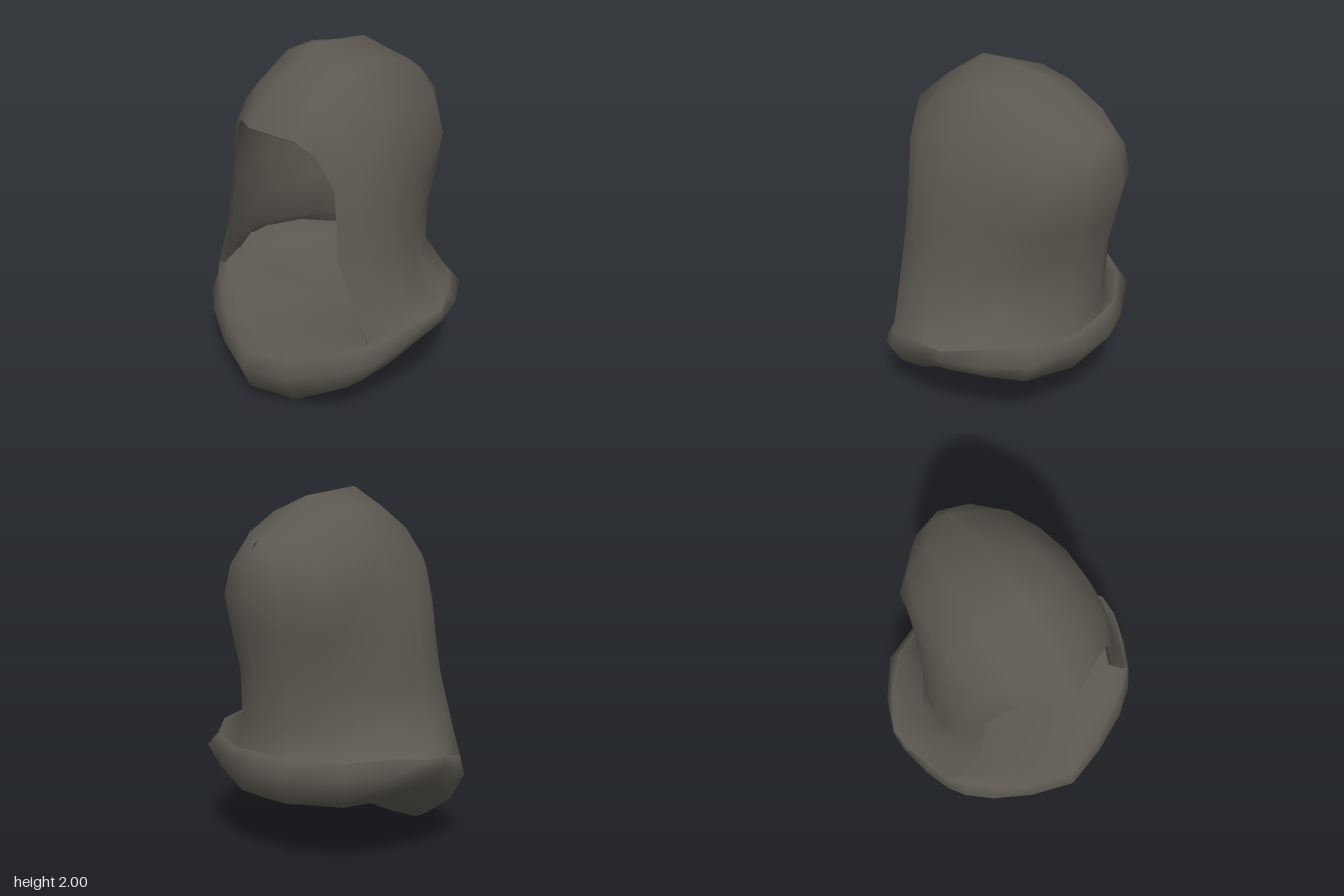
import * as THREE from 'three';
import { mergeVertices } from 'three/addons/utils/BufferGeometryUtils.js';

// Half cross-sections of the hood: face edge, round the side, to the centre back
const base = [[.63, .53, .35], [.69, .57, .195], [.75, .61, .04], [.755, .615, -.08], [.64, .635, -.27], [.47, .615, -.455], [.19, .61, -.59], [0, .625, -.61]];
const neck = [[.57, .66, .365], [.62, .68, .24], [.63, .7, .08], [.55, .71, -.08], [.44, .72, -.25], [.34, .72, -.4], [.17, .74, -.54], [0, .75, -.6]];
const jaw = [[.44, .98, .4], [.51, .97, .27], [.54, .95, .12], [.51, .97, -.08], [.425, 1, -.25], [.35, 1.02, -.4], [.18, 1.03, -.55], [0, 1.03, -.62]];
const cheek = [[.415, 1.2, .385], [.5, 1.22, .27], [.538, 1.22, .1], [.5, 1.23, -.08], [.425, 1.24, -.26], [.38, 1.24, -.425], [.19, 1.25, -.6], [0, 1.26, -.665]];
const temple = [[.395, 1.37, .38], [.46, 1.42, .27], [.485, 1.45, .1], [.47, 1.45, -.08], [.42, 1.45, -.28], [.39, 1.44, -.455], [.2, 1.45, -.64], [0, 1.46, -.71]];
const brow = [[.31, 1.545, .43], [.38, 1.63, .3], [.417, 1.68, .1], [.415, 1.69, -.08], [.385, 1.66, -.27], [.32, 1.62, -.46], [.17, 1.61, -.62], [0, 1.63, -.67]];
const crown = [[.21, 1.61, .48], [.22, 1.77, .35], [.235, 1.9, .12], [.24, 1.91, -.06], [.22, 1.87, -.25], [.18, 1.77, -.47], [.09, 1.7, -.6], [0, 1.69, -.63]];
const ridge = [[0, 1.66, .6], [0, 1.85, .38], [0, 2, .16], [0, 1.98, -.03], [0, 1.96, -.22], [0, 1.82, -.45], [0, 1.75, -.57], [0, 1.73, -.6]];

// Half rings of the cowl: centre front, round the side, to the centre back
const under = [[0, 0, .54], [.2, .025, .5], [.36, .11, .4], [.415, .145, .35], [.46, .18, .29], [.51, .26, .17], [.54, .34, .03], [.54, .36, -.08], [.5, .36, -.22], [.4, .34, -.36], [.16, .32, -.43], [0, .32, -.4]];
const lower = [[0, .1, .66], [.25, .14, .58], [.46, .21, .47], [.525, .235, .41], [.57, .27, .345], [.64, .35, .2], [.68, .43, .04], [.68, .45, -.08], [.61, .44, -.27], [.48, .4, -.44], [.18, .36, -.56], [0, .35, -.55]];
const outer = [[0, .24, .71], [.25, .26, .635], [.47, .34, .535], [.6, .385, .435], [.67, .42, .34], [.725, .485, .21], [.765, .55, .04], [.765, .56, -.08], [.68, .55, -.29], [.53, .54, -.5], [.2, .52, -.64], [0, .51, -.68]];
const rim = [[0, .33, .675], [.25, .36, .595], [.46, .44, .475], [.565, .49, .405], [.63, .53, .35], [.69, .57, .195], [.75, .61, .04], [.755, .615, -.08], [.64, .635, -.27], [.47, .615, -.455], [.19, .61, -.59], [0, .625, -.61]];
const lip = [[0, .4, .56], [.24, .415, .52], [.42, .455, .42], [.51, .485, .37], [.58, .51, .33], [.59, .505, .18], [.59, .505, .04], [.57, .51, -.08], [.48, .53, -.25], [.37, .555, -.4], [.15, .57, -.52], [0, .57, -.55]];

// Continue a half section to the other side
const flip = ([x, y, z]) => [-x, y, z];

// Smooth skin over closed rows of points
function loft(rows) {
  const geometry = new THREE.BufferGeometry();
  const n = rows[0].length, index = [];
  for (let i = 0; i < rows.length - 1; i++) {
    for (let j = 0; j < n; j++) {
      const a = i * n + j, b = i * n + (j + 1) % n;
      index.push(a, b, b + n, a, b + n, a + n);
    }
  }
  geometry.setAttribute('position', new THREE.Float32BufferAttribute(rows.flat(2), 3));
  geometry.setIndex(index);
  const welded = mergeVertices(geometry, 1e-4);
  welded.computeVertexNormals();
  return welded;
}

// Outside of the hood, back round along its lining
function hoodRow(half, row) {
  const lining = half.map(([x, y, z], i) => [
    x * (i ? .955 : .975),
    row ? .5 + (y - .5) * .983 : y - .05,
    -.1 + (z + .1) * .96,
  ]);
  const full = h => [...h, ...h.slice(0, -1).reverse().map(flip)];
  return [...full(half), ...full(lining).reverse()];
}

// Full ring of the cowl
const ring = half => [...half, ...half.slice(1, -1).reverse().map(flip)];

// Shrink a ring towards a centre point
const shrink = (half, centre, t) => half.map(p => p.map((v, i) => v + (centre[i] - v) * t));

export function createModel() {
  const group = new THREE.Group();
  const cloth = new THREE.MeshStandardMaterial({ color: 0x5c5850 });
  cloth.name = 'dark cloth';

  function add(name, geometry) {
    const mesh = new THREE.Mesh(geometry, cloth);
    mesh.name = name;
    group.add(mesh);
  }

  // Hood with an open face and a peak over the brow
  add('hood', loft([base, neck, jaw, cheek, temple, brow, crown, ridge].map(hoodRow)));

  // Cowl around the shoulders, closed below and across the neck
  add('cowl', loft([
    shrink(under, [0, .28, -.08], 1), shrink(under, [0, .3, .08], .5),
    under, lower, outer, rim, lip,
    shrink(lip, [0, .42, .04], .5), shrink(lip, [0, .45, .04], 1),
  ].map(ring)));

  return group;
}
